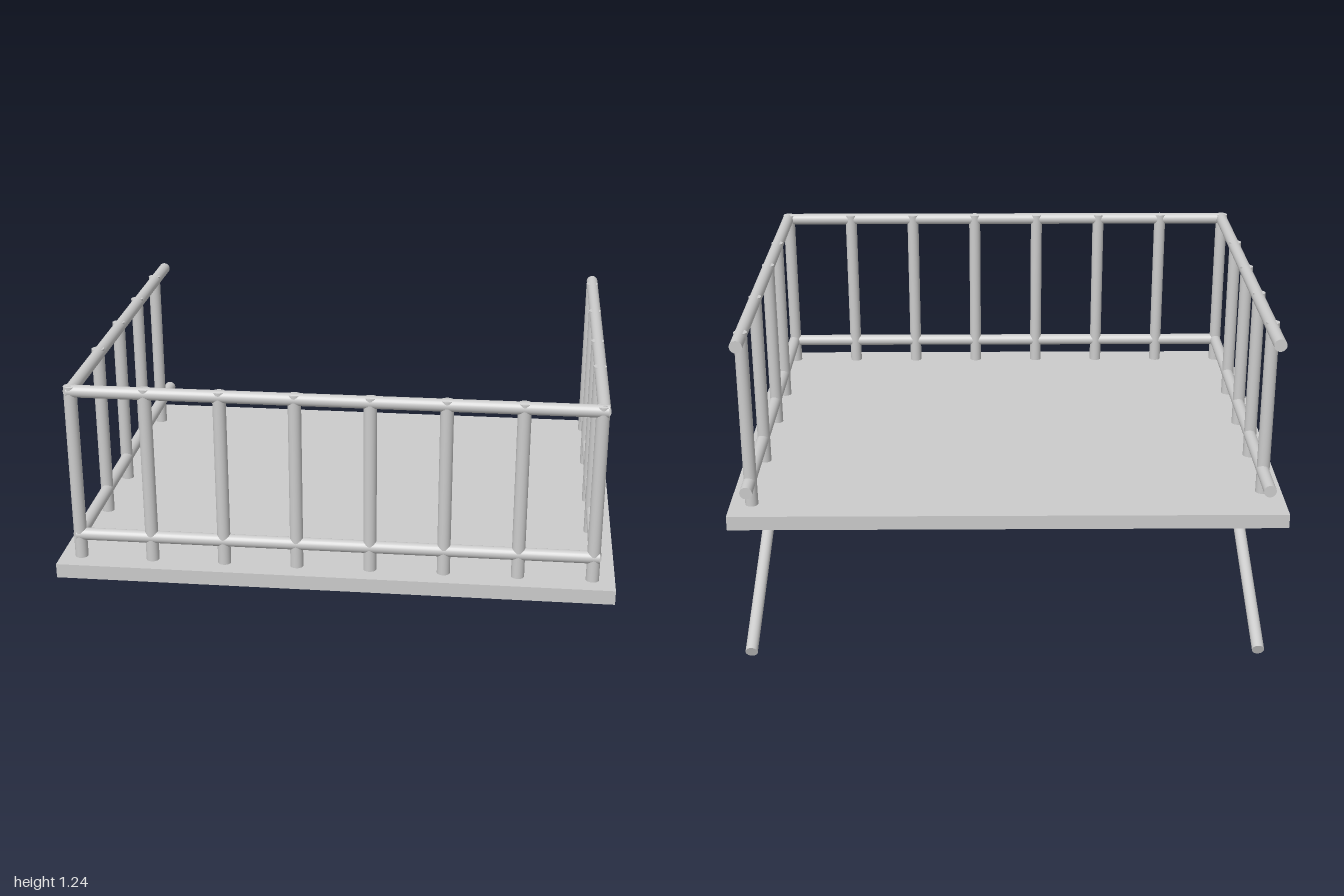
import * as THREE from 'three';

const material = new THREE.MeshStandardMaterial({ color: 0xcccccc });

// Round bar between two points
function bar(name, from, to, radius) {
  const a = new THREE.Vector3(...from), b = new THREE.Vector3(...to);
  const dir = b.clone().sub(a);
  const mesh = new THREE.Mesh(new THREE.CylinderGeometry(radius, radius, dir.length(), 24), material);
  mesh.name = name;
  mesh.position.copy(a).add(b).multiplyScalar(0.5);
  mesh.quaternion.setFromUnitVectors(new THREE.Vector3(0, 1, 0), dir.normalize());
  return mesh;
}

export function createModel() {
  const model = new THREE.Group();
  model.name = 'balcony';

  const floorY = 0.583, topY = 1.222, lowY = 0.672;
  const railX = 0.925, frontZ = 0.735, backZ = -0.81;
  const railR = 0.0225, postR = 0.0235;

  // Floor slab
  const floor = new THREE.Mesh(new THREE.BoxGeometry(2, 0.053, 1.63), material);
  floor.name = 'floor';
  floor.position.y = floorY - 0.0265;
  model.add(floor);

  // Upper and lower rails on the front and both sides
  const rails = new THREE.Group();
  rails.name = 'rails';
  for (const [level, y] of [['upper', topY], ['lower', lowY]]) {
    rails.add(bar(level + 'FrontRail', [-0.935, y, frontZ], [0.94, y, frontZ], railR));
    rails.add(bar(level + 'LeftRail', [railX, y, frontZ + 0.01], [railX, y, backZ], railR));
    rails.add(bar(level + 'RightRail', [-railX, y, frontZ + 0.01], [-railX, y, backZ], railR));
  }
  model.add(rails);

  // Upright posts, unevenly spaced along the two sides
  const posts = new THREE.Group();
  posts.name = 'posts';
  const addPost = (name, x, z) =>
    posts.add(bar(name, [x, floorY - 0.01, z], [x, topY + 0.018, z], postR));
  for (let i = 0; i < 8; i++) addPost('frontPost', -0.925 + i * 0.2636, frontZ - 0.002);
  for (const z of [0.33, 0.042, -0.335, -0.71]) addPost('leftPost', railX - 0.003, z);
  for (const z of [0.33, 0.01, -0.302, -0.622]) addPost('rightPost', -railX - 0.003, z);
  model.add(posts);

  // Slanted braces running down to the wall
  for (const [name, x] of [['leftBrace', 0.945], ['rightBrace', -0.922]]) {
    model.add(bar(name, [x, 0.552, 0.635], [x, 0.0215, -0.803], 0.0225));
  }
  return model;
}
